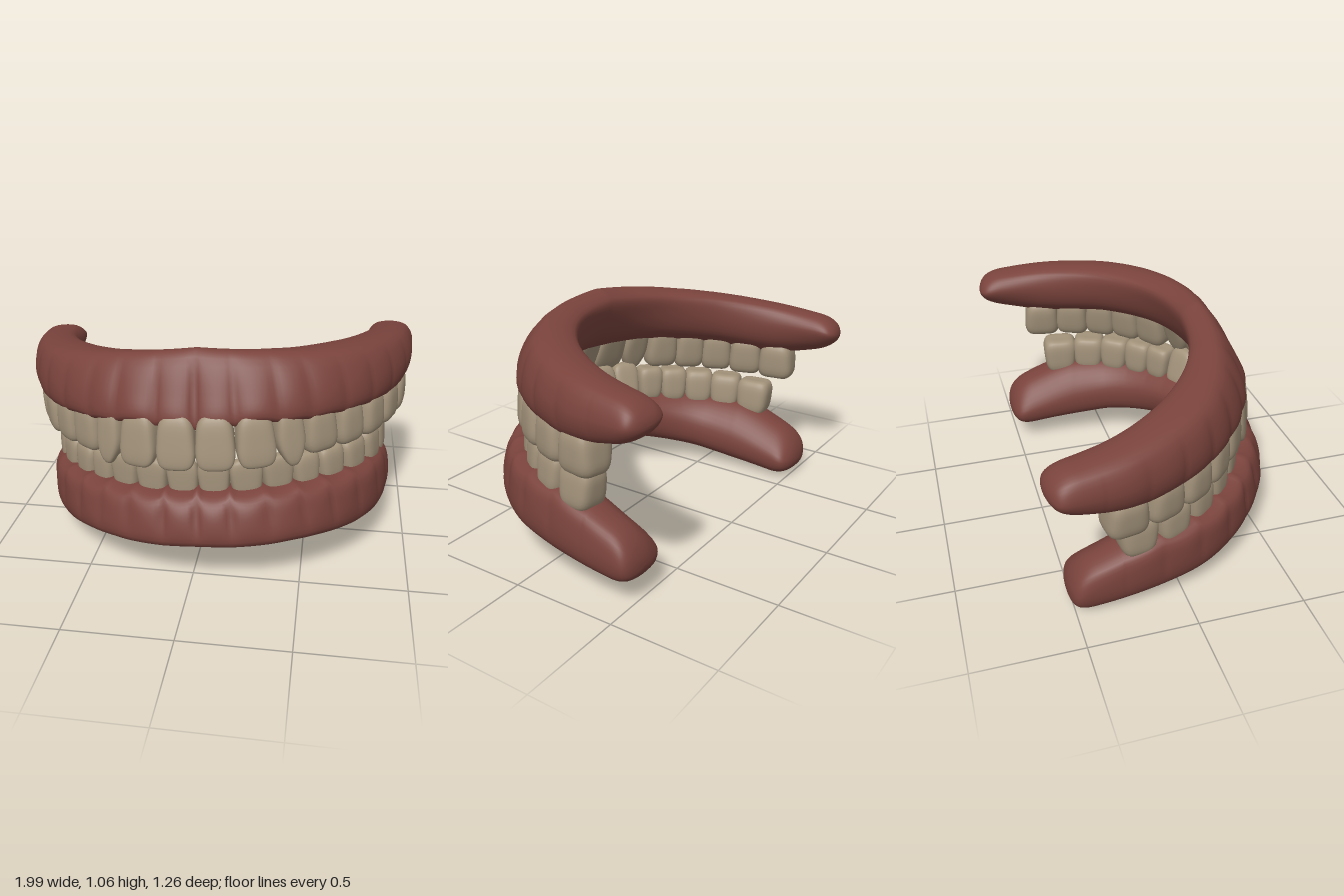
import * as THREE from 'three';
import { mergeVertices } from 'three/addons/utils/BufferGeometryUtils.js';

const gumColor = new THREE.MeshStandardMaterial({ name: 'gum red', color: 0x7a433c });
const toothColor = new THREE.MeshStandardMaterial({ name: 'tooth ivory', color: 0xa2927a });

// Horseshoe curve from half its [x, z] points, mirrored; u runs from -1 (right end) to 1 (left end)
function makeArch(half) {
  const right = half.slice(1).reverse().map(([x, z]) => new THREE.Vector3(-x, 0, z));
  const left = half.map(([x, z]) => new THREE.Vector3(x, 0, z));
  const curve = new THREE.CatmullRomCurve3([...right, ...left], false, 'centripetal');
  curve.arcLengthDivisions = 600;
  return (u) => {
    const t = THREE.MathUtils.clamp((u + 1) / 2, 0, 1);
    const tangent = curve.getTangentAt(t);
    return { point: curve.getPointAt(t), tangent, out: new THREE.Vector3(-tangent.z, 0, tangent.x) };
  };
}

// Distances from the middle to each tooth edge, scaled so that the last one is 1
function toothEdges(widths) {
  const total = widths.reduce((a, b) => a + b, 0);
  let s = 0;
  return [0, ...widths.map((w) => (s += w) / total)];
}

// Gum: closed [outward, y] sections at five even stations, swept along the arch
function makeGum({ arch, sections, reverse, edges, toothEnd, lineDir }) {
  const rings = 240, sides = 40, cap = 0.09;
  const rails = sections[0].map((_, k) => new THREE.CatmullRomCurve3(
    sections.map((sec) => new THREE.Vector3(sec[k][0], sec[k][1], 0))));
  const pos = [], index = [];
  for (let i = 0; i <= rings; i++) {
    const v = (i / rings) * 2 - 1;
    const a = 1 - Math.pow(1 - Math.abs(v), 1.5);
    const u = Math.sign(v) * a;
    const { point, out } = arch(u);
    const ctrl = rails.map((r) => r.getPoint(a));
    // scallops: the gum swells over each tooth and sinks between two
    const e = a / toothEnd;
    const n = edges.findIndex((x) => x > e);
    const f = n > 0 ? (e - edges[n - 1]) / (edges[n] - edges[n - 1]) : 0;
    const fade = n > 0 ? Math.max(0, 1 - 0.75 * e) : 0;
    const swell = (Math.sqrt(Math.abs(Math.sin(Math.PI * f))) - 0.6) * fade;
    ctrl[0].x += 0.025 * swell;
    ctrl[0].y -= lineDir * 0.03 * swell;
    ctrl[1].x += 0.025 * swell;
    const ring = new THREE.CatmullRomCurve3(reverse ? ctrl.reverse() : ctrl, true);
    const mid = ctrl.reduce((m, p) => m.add(p), new THREE.Vector3()).divideScalar(ctrl.length);
    // rounded ends, blunt from above and tapering in height
    const c = Math.max(0, (a - 1 + cap) / cap);
    const scale = new THREE.Vector3(Math.sqrt(Math.max(0, 1 - c ** 6)), Math.sqrt(Math.max(0, 1 - c ** 2.5)), 1);
    for (let j = 0; j < sides; j++) {
      const p = ring.getPoint(j / sides).sub(mid).multiply(scale).add(mid);
      pos.push(point.x + out.x * p.x, p.y, point.z + out.z * p.x);
      if (i < rings) {
        const k = (j + 1) % sides, b = i * sides, d = b + sides;
        index.push(b + j, d + j, b + k, d + j, d + k, b + k);
      }
    }
  }
  const g = new THREE.BufferGeometry();
  g.setAttribute('position', new THREE.Float32BufferAttribute(pos, 3));
  g.setIndex(index);
  g.computeVertexNormals();
  return g;
}

// Tooth: rounded block, root at -y and biting edge at +y, lips side at +z
function makeTooth(w, h, d, kind, lean) {
  let g = new THREE.BoxGeometry(2, 2, 2, 10, 10, 10);
  g.deleteAttribute('normal');
  g.deleteAttribute('uv');
  g = mergeVertices(g, 1e-4);
  const p = g.attributes.position, v = new THREE.Vector3(), round = 3.8;
  for (let i = 0; i < p.count; i++) {
    v.fromBufferAttribute(p, i);
    const sum = Math.abs(v.x) ** round + Math.abs(v.y) ** round + Math.abs(v.z) ** round;
    v.multiplyScalar(Math.pow(sum, -1 / round));
    const a = (v.y + 1) / 2;
    v.x *= 0.78 + 0.24 * Math.sqrt(Math.min(1, Math.max(0, a) * 1.4));
    if (kind === 'molar') {
      if (v.y > 0) v.y -= 0.14 * Math.max(0, 1 - v.x * v.x) * Math.max(0, 1 - v.z * v.z);
      v.z *= 1 - 0.14 * a * a;
    } else {
      v.z = 1 - (1 - v.z) * (1 - 0.5 * a); // thin biting edge
      if (kind === 'canine') v.x *= 1 - 0.6 * Math.max(0, v.y) ** 1.6;
    }
    p.setXYZ(i, v.x * w / 2, v.y * h / 2, v.z * d / 2 + lean * v.y);
  }
  g.computeVertexNormals();
  return g;
}

// One row of teeth on both sides; root and tip heights run from front to back
function makeTeeth(name, { arch, widths, edges, length, root, tip, depth, lean, point }) {
  const row = new THREE.Group();
  row.name = name;
  const total = widths.reduce((a, b) => a + b, 0);
  widths.forEach((w, i) => {
    const kind = i < 2 ? 'incisor' : i === 2 ? 'canine' : 'molar';
    const u = (edges[i] + edges[i + 1]) / 2;
    const back = Math.max(0, (u - 0.3) / 0.7);
    const y0 = THREE.MathUtils.lerp(root[0], root[1], back);
    let y1 = THREE.MathUtils.lerp(tip[0], tip[1], back);
    if (kind === 'canine') y1 += Math.sign(y1 - y0) * point;
    const d = THREE.MathUtils.lerp(depth[0], depth[1], Math.min(1, u * 1.3));
    const up = Math.sign(y1 - y0);
    const g = makeTooth(w * length / total * 1.04, Math.abs(y1 - y0), d,
      kind === 'canine' && point === 0 ? 'incisor' : kind, lean * (1 - u));
    for (const side of [1, -1]) {
      const { point: at, tangent, out } = arch(side * u);
      const m = new THREE.Mesh(g, toothColor);
      m.name = `${side > 0 ? 'left' : 'right'} ${kind} ${i + 1}`;
      const basis = new THREE.Matrix4().makeBasis(
        tangent.clone().multiplyScalar(up), new THREE.Vector3(0, up, 0), out);
      m.quaternion.setFromRotationMatrix(basis);
      m.position.set(at.x, (y0 + y1) / 2, at.z);
      row.add(m);
    }
  });
  return row;
}

export function createModel() {
  const model = new THREE.Group();
  model.name = 'dentures';
  // the whole set leans a little to one side
  const tilt = new THREE.Group();
  tilt.name = 'tilted jaws';
  tilt.position.y = 0.85;
  tilt.rotation.z = 0.06;
  model.add(tilt);
  const jaws = new THREE.Group();
  jaws.name = 'jaws';
  jaws.position.y = -0.85;
  tilt.add(jaws);

  const upperWidths = [0.17, 0.17, 0.135, 0.165, 0.155, 0.16, 0.17, 0.18];
  const lowerWidths = [0.145, 0.15, 0.145, 0.14, 0.15, 0.16, 0.17, 0.18];
  const upperEdges = toothEdges(upperWidths), lowerEdges = toothEdges(lowerWidths);

  const addGum = (name, spec) => {
    const m = new THREE.Mesh(makeGum(spec), gumColor);
    m.name = name;
    jaws.add(m);
  };

  addGum('upper gum', {
    arch: makeArch([[0, 0.34], [0.24, 0.315], [0.43, 0.24], [0.61, 0.1], [0.73, -0.05], [0.84, -0.29], [0.895, -0.625]]),
    edges: upperEdges, toothEnd: 0.86, lineDir: -1, reverse: false,
    sections: [ // outer gum line, outer wall, outer ridge, inner ridge, inner wall, inner gum line, underside
      [[0.135, 0.745], [0.09, 0.88], [-0.02, 1.055], [-0.115, 1.01], [-0.105, 0.91], [-0.04, 0.79], [0.05, 0.73]],
      [[0.135, 0.745], [0.11, 0.88], [0.005, 1.02], [-0.12, 0.99], [-0.115, 0.9], [-0.06, 0.78], [0.03, 0.73]],
      [[0.13, 0.72], [0.135, 0.84], [0.07, 0.965], [-0.105, 0.965], [-0.12, 0.87], [-0.08, 0.76], [0.03, 0.7]],
      [[0.1, 0.69], [0.13, 0.8], [0.08, 0.92], [-0.08, 0.925], [-0.115, 0.85], [-0.09, 0.74], [0, 0.67]],
      [[0.08, 0.75], [0.11, 0.8], [0.07, 0.875], [-0.06, 0.88], [-0.11, 0.83], [-0.07, 0.765], [0, 0.74]],
    ],
  });
  addGum('lower gum', {
    arch: makeArch([[0, 0.47], [0.2, 0.45], [0.37, 0.38], [0.55, 0.23], [0.665, 0.06], [0.715, -0.12], [0.735, -0.3], [0.735, -0.525]]),
    edges: lowerEdges, toothEnd: 0.84, lineDir: 1, reverse: true,
    sections: [ // outer gum line, outer wall, outer base, underside, inner base, inner wall, top
      [[0.07, 0.435], [0.13, 0.35], [0.15, 0.225], [0, 0.19], [-0.12, 0.24], [-0.15, 0.36], [-0.06, 0.435]],
      [[0.09, 0.425], [0.135, 0.34], [0.15, 0.215], [0, 0.17], [-0.12, 0.21], [-0.15, 0.34], [-0.05, 0.43]],
      [[0.12, 0.395], [0.15, 0.3], [0.14, 0.16], [0, 0.11], [-0.13, 0.16], [-0.14, 0.3], [-0.03, 0.4]],
      [[0.115, 0.355], [0.145, 0.26], [0.13, 0.12], [0, 0.055], [-0.14, 0.11], [-0.15, 0.24], [-0.03, 0.37]],
      [[0.1, 0.22], [0.135, 0.14], [0.11, 0.06], [0, 0.03], [-0.12, 0.06], [-0.14, 0.13], [-0.03, 0.23]],
    ],
  });

  jaws.add(makeTeeth('upper teeth', {
    arch: makeArch([[0, 0.45], [0.2, 0.43], [0.4, 0.345], [0.585, 0.21], [0.72, 0.06], [0.81, -0.12], [0.86, -0.28], [0.872, -0.385]]),
    widths: upperWidths, edges: upperEdges, length: 1.31,
    root: [0.81, 0.72], tip: [0.55, 0.505], depth: [0.13, 0.185], lean: 0.025, point: 0.02,
  }));
  jaws.add(makeTeeth('lower teeth', {
    arch: makeArch([[0, 0.435], [0.2, 0.415], [0.39, 0.335], [0.56, 0.205], [0.69, 0.04], [0.755, -0.12], [0.783, -0.3]]),
    widths: lowerWidths, edges: lowerEdges, length: 1.2,
    root: [0.38, 0.3], tip: [0.58, 0.515], depth: [0.12, 0.165], lean: 0, point: 0,
  }));
  return model;
}
